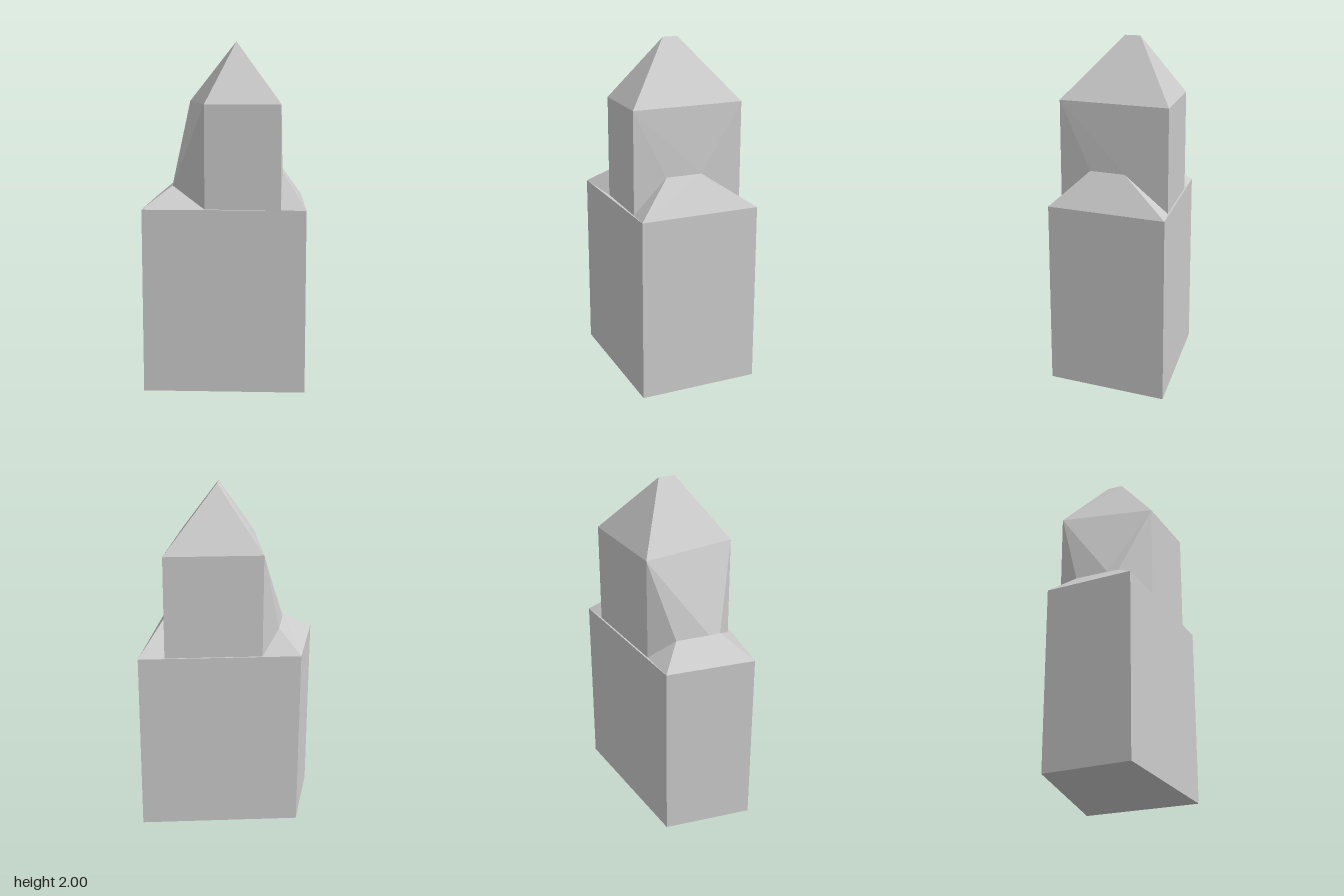
import * as THREE from 'three';

const BASE = 1.06, EAVE = 1.65, TOP = 2;

// plan corners [x, z], counter-clockwise seen from above: back, left, front, right
const basePlan = [[-0.14, -0.52], [-0.56, -0.22], [0, 0.52], [0.56, 0.08]];
const towerPlan = [[0.02, -0.37], [-0.33, 0.05], [-0.08, 0.4], [0.44, -0.01]];

const lift = (plan, y) => plan.map(([x, z]) => [x, y, z]);

// faceted mesh from convex faces, each a counter-clockwise list of points
function faceted(name, faces) {
  const pos = [];
  for (const f of faces)
    for (let i = 1; i < f.length - 1; i++) pos.push(...f[0], ...f[i], ...f[i + 1]);
  const geo = new THREE.BufferGeometry();
  geo.setAttribute('position', new THREE.Float32BufferAttribute(pos, 3));
  geo.computeVertexNormals();
  const mat = new THREE.MeshStandardMaterial({ color: 0xcccccc, flatShading: true, side: THREE.DoubleSide });
  const mesh = new THREE.Mesh(geo, mat);
  mesh.name = name;
  return mesh;
}

export function createModel() {
  const group = new THREE.Group();
  group.name = 'building';

  // main block: floor and four walls
  const floor = lift(basePlan, 0), deck = lift(basePlan, BASE);
  const walls = floor.map((p, i) => {
    const j = (i + 1) % 4;
    return [p, floor[j], deck[j], deck[i]];
  });
  group.add(faceted('mainBlock', [...walls, [...floor].reverse()]));

  const [A, D, C, B] = deck;
  const [Pb, Sb, Rb, Qb] = lift(towerPlan, BASE);
  const [P, S, R, Q] = lift(towerPlan, EAVE);

  // upper edges of the two lean-to roofs
  const [V, M, W] = [[-0.14, 1.18, -0.345], [-0.295, 1.18, -0.225], [-0.345, 1.18, -0.18]];
  const [F, G] = [[0.08, 1.26, 0.29], [0.25, 1.26, 0.16]];

  // lean-to roofs with hipped ends, and the narrow ledges beside the tower
  group.add(faceted('backLeanToRoof', [[A, V, M, W, D], [A, Pb, V], [D, W, Sb]]));
  group.add(faceted('frontLeanToRoof', [[C, B, G, F], [C, F, Rb], [B, Qb, G]]));
  group.add(faceted('ledges', [[A, B, Qb, Pb].reverse(), [D, C, Rb, Sb]]));

  // tower: two upright walls, two walls meeting the lean-to roofs
  group.add(faceted('towerWalls', [
    [Qb, Pb, P, Q],
    [Sb, Rb, R, S],
    [Rb, F, R], [F, G, R], [G, Q, R], [G, Qb, Q],
    [Pb, V, P], [V, M, P], [M, S, P], [M, W, S], [W, Sb, S],
  ]));

  // hipped tower roof with a short ridge
  const T1 = [0.06, TOP, -0.04], T2 = [-0.01, TOP, 0.02];
  group.add(faceted('towerRoof', [
    [S, R, T2], [R, Q, T1, T2], [Q, P, T1], [P, T2, T1], [P, S, T2],
  ]));
  return group;
}
